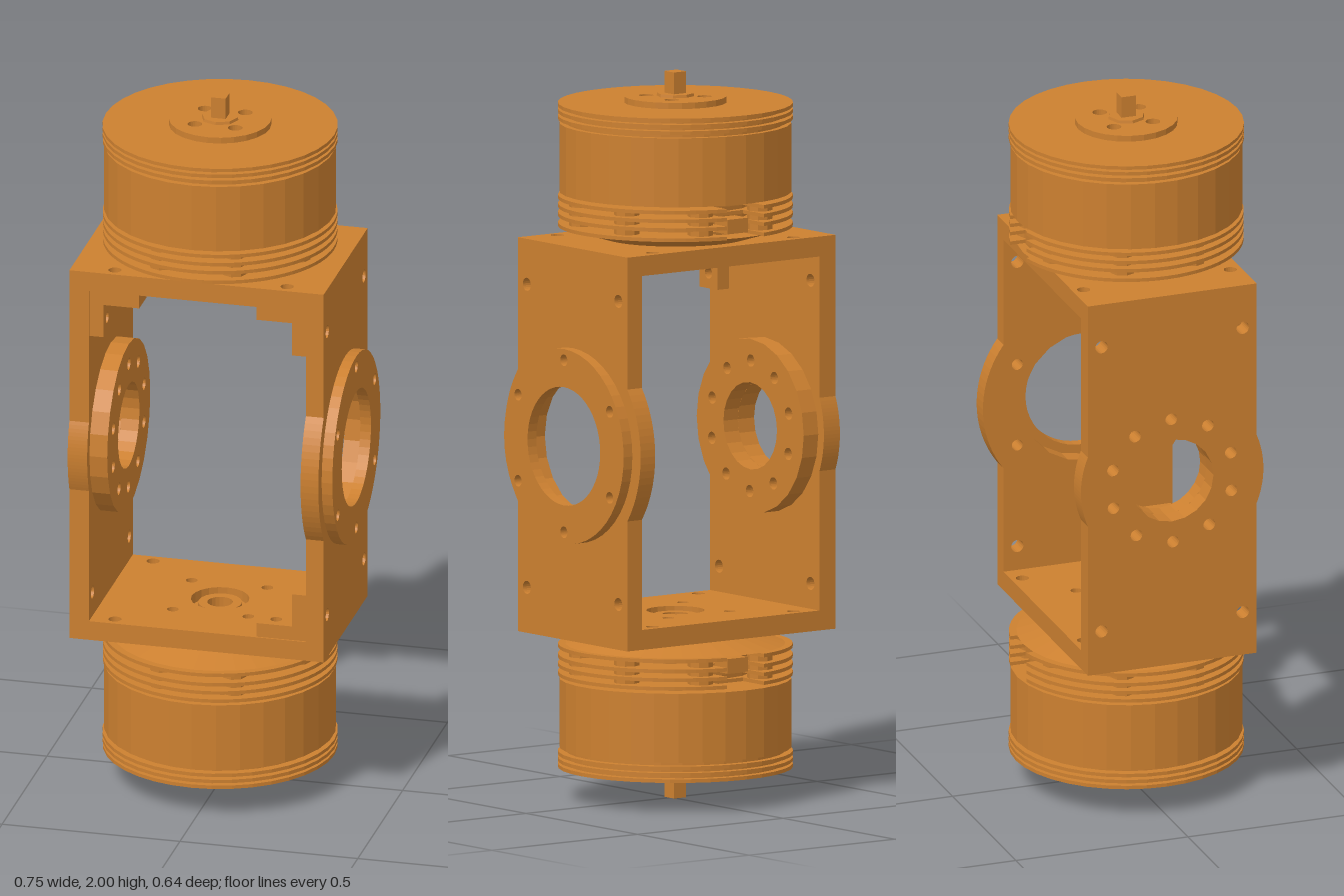
import * as THREE from 'three';

const AXIS = -0.013;            // x of the motor axis
const BOTTOM = 0.46, TOP = 1.545; // frame height range
const MID = 1.0;                // height of the side bearings

export function createModel() {
  const model = new THREE.Group();
  const orange = new THREE.MeshStandardMaterial({ color: 0xcc8030, flatShading: true });
  orange.name = 'orange';

  const add = (parent, name, geo, x = 0, y = 0, z = 0) => {
    const mesh = new THREE.Mesh(geo, orange);
    mesh.name = name;
    mesh.position.set(x, y, z);
    parent.add(mesh);
    return mesh;
  };
  // hole list entries are [x, y, radius]
  const extrude = (shape, holes, depth, segs = 10) => {
    for (const [x, y, r] of holes) {
      const p = new THREE.Path();
      p.absarc(x, y, r, 0, Math.PI * 2, true);
      shape.holes.push(p);
    }
    return new THREE.ExtrudeGeometry(shape, { depth, bevelEnabled: false, curveSegments: segs });
  };
  const circle = (x, y, r) => {
    const s = new THREE.Shape();
    s.absarc(x, y, r, 0, Math.PI * 2, false);
    return s;
  };
  const rect = (x0, y0, x1, y1) => new THREE.Shape([
    new THREE.Vector2(x0, y0), new THREE.Vector2(x1, y0),
    new THREE.Vector2(x1, y1), new THREE.Vector2(x0, y1)]);
  const boltCircle = (x, y, R, n, r, start = 0) => Array.from({ length: n }, (_, i) => {
    const a = start + (i / n) * Math.PI * 2;
    return [x + R * Math.cos(a), y + R * Math.sin(a), r];
  });
  const sideways = g => g.rotateY(Math.PI / 2);  // depth along +x
  const upright = g => g.rotateX(-Math.PI / 2);  // depth along +y

  // ---- frame ----
  const frame = new THREE.Group();
  frame.name = 'frame';
  model.add(frame);

  // side wall with a round bulge at bearing height
  const wall = (bulge, holes, depth) => {
    const w = 0.245, a = Math.acos(w / bulge), s = new THREE.Shape();
    s.moveTo(-w, BOTTOM);
    s.lineTo(w, BOTTOM);
    s.absarc(0, MID, bulge, -a, a, false);
    s.lineTo(w, TOP);
    s.lineTo(-w, TOP);
    s.absarc(0, MID, bulge, Math.PI - a, Math.PI + a, false);
    s.closePath();
    const corners = [];
    for (const z of [-0.205, 0.205]) for (const y of [0.585, 1.42]) corners.push([z, y, 0.018]);
    return sideways(extrude(s, [...corners, ...holes], depth));
  };
  const bolts6 = boltCircle(0, MID, 0.237, 6, 0.016, Math.PI / 2);
  const bolts10 = boltCircle(0, MID, 0.18, 10, 0.017, 0.3);
  add(frame, 'leftWall', wall(0.305, [[0, MID, 0.19], ...bolts6], 0.05), 0.29);
  add(frame, 'rightWall', wall(0.265, [[0, MID, 0.12], ...bolts10], 0.055), -0.375);
  add(frame, 'leftFlange',
    sideways(extrude(circle(0, MID, 0.268), [[0, MID, 0.163], ...bolts6], 0.03, 24)), 0.34);
  add(frame, 'rightBearingRing',
    sideways(extrude(circle(0, MID, 0.24), [[0, MID, 0.12], ...bolts10], 0.05, 12)), -0.32);

  // end plates with a recessed centre collar
  const plateHoles = [[AXIS, 0, 0.08], ...boltCircle(AXIS, 0, 0.15, 4, 0.016, Math.PI / 4)];
  for (const x of [-0.255, 0.229]) for (const z of [-0.213, 0.213]) plateHoles.push([x, z, 0.018]);
  for (const [name, y, collarY] of [['bottom', BOTTOM, BOTTOM], ['top', TOP - 0.055, TOP - 0.04]]) {
    add(frame, name + 'Plate', upright(extrude(rect(-0.32, -0.245, 0.29, 0.245), plateHoles, 0.055)), 0, y);
    add(frame, name + 'Collar', upright(extrude(circle(AXIS, 0, 0.06), [[AXIS, 0, 0.035]], 0.045)), 0, collarY);
    add(frame, name + 'CollarSeat', upright(extrude(circle(AXIS, 0, 0.08), [[AXIS, 0, 0.035]], 0.025)),
      0, name === 'top' ? TOP - 0.025 : BOTTOM);
  }

  // L brackets in three front corners: wall x, direction into the frame, plate y, direction
  for (const [x, dx, y, dy] of [[-0.32, 1, 1.49, -1], [0.29, -1, 1.49, -1], [0.29, -1, 0.515, 1]]) {
    const bracket = new THREE.Group();
    bracket.name = 'cornerBracket';
    frame.add(bracket);
    add(bracket, 'bracketFoot',
      upright(extrude(rect(-0.07, -0.04, 0.07, 0.04), [[dx * 0.025, 0, 0.016]], 0.04)),
      x + dx * 0.07, dy > 0 ? y : y - 0.04, 0.2);
    add(bracket, 'bracketArm',
      sideways(extrude(rect(-0.04, -0.0475, 0.04, 0.0475), [[0, dy * 0.005, 0.016]], 0.04)),
      dx > 0 ? x : x - 0.04, y + dy * 0.0875, 0.2);
  }

  // ---- motors ----
  const cyl = (r0, r1, y0, y1, n) =>
    new THREE.CylinderGeometry(r1, r0, y1 - y0, n).translate(0, (y0 + y1) / 2, 0);
  // thin disc with a cable notch at the back
  const notchedDisc = (r, y0, h) => {
    const a = 0.2, s = new THREE.Shape();
    s.absarc(0, 0, r, Math.PI / 2 + a, Math.PI * 2.5 - a, false);
    s.lineTo(r * Math.sin(a), 0.22);
    s.lineTo(-r * Math.sin(a), 0.22);
    s.closePath();
    return upright(extrude(s, [], h, 32)).translate(0, y0, 0);
  };
  const makeMotor = () => {
    const m = new THREE.Group();
    add(m, 'mountCone', cyl(0.2, 0.3, 0, 0.03, 32));
    for (const y of [0.03, 0.058, 0.082, 0.106]) add(m, 'statorFin', notchedDisc(0.32, y, 0.01));
    add(m, 'statorCore', cyl(0.21, 0.21, 0.03, 0.112, 16));
    for (let i = 0; i < 8; i++) {
      const a = (i + 0.5) * Math.PI / 4;
      add(m, 'statorPost', new THREE.CylinderGeometry(0.035, 0.035, 0.08, 8),
        0.265 * Math.cos(a), 0.07, 0.265 * Math.sin(a));
    }
    add(m, 'cableSocket', new THREE.BoxGeometry(0.07, 0.04, 0.06), 0, 0.06, -0.25);
    add(m, 'neck', cyl(0.12, 0.12, 0.11, 0.13, 12));
    add(m, 'bell', cyl(0.317, 0.317, 0.125, 0.315, 30));
    add(m, 'bellCore', cyl(0.3, 0.3, 0.31, 0.365, 32));
    for (const y of [0.325, 0.343, 0.36]) add(m, 'bellFin', cyl(0.321, 0.321, y, y + 0.01, 36));
    const pits = boltCircle(0, 0, 0.08, 4, 0.02, Math.PI / 4);
    add(m, 'hub', upright(extrude(circle(0, 0, 0.14), pits, 0.017, 12)), 0, 0.37);
    add(m, 'shaftCollar', cyl(0.053, 0.05, 0.38, 0.395, 8));
    add(m, 'shaft', new THREE.BoxGeometry(0.042, 0.065, 0.042), 0, 0.4225);
    return m;
  };
  const topMotor = makeMotor();
  topMotor.name = 'topMotor';
  topMotor.position.set(AXIS, TOP, 0);
  const bottomMotor = makeMotor();
  bottomMotor.name = 'bottomMotor';
  bottomMotor.position.set(AXIS, BOTTOM - 0.005, 0);
  bottomMotor.rotation.z = Math.PI;
  model.add(topMotor, bottomMotor);

  return model;
}
